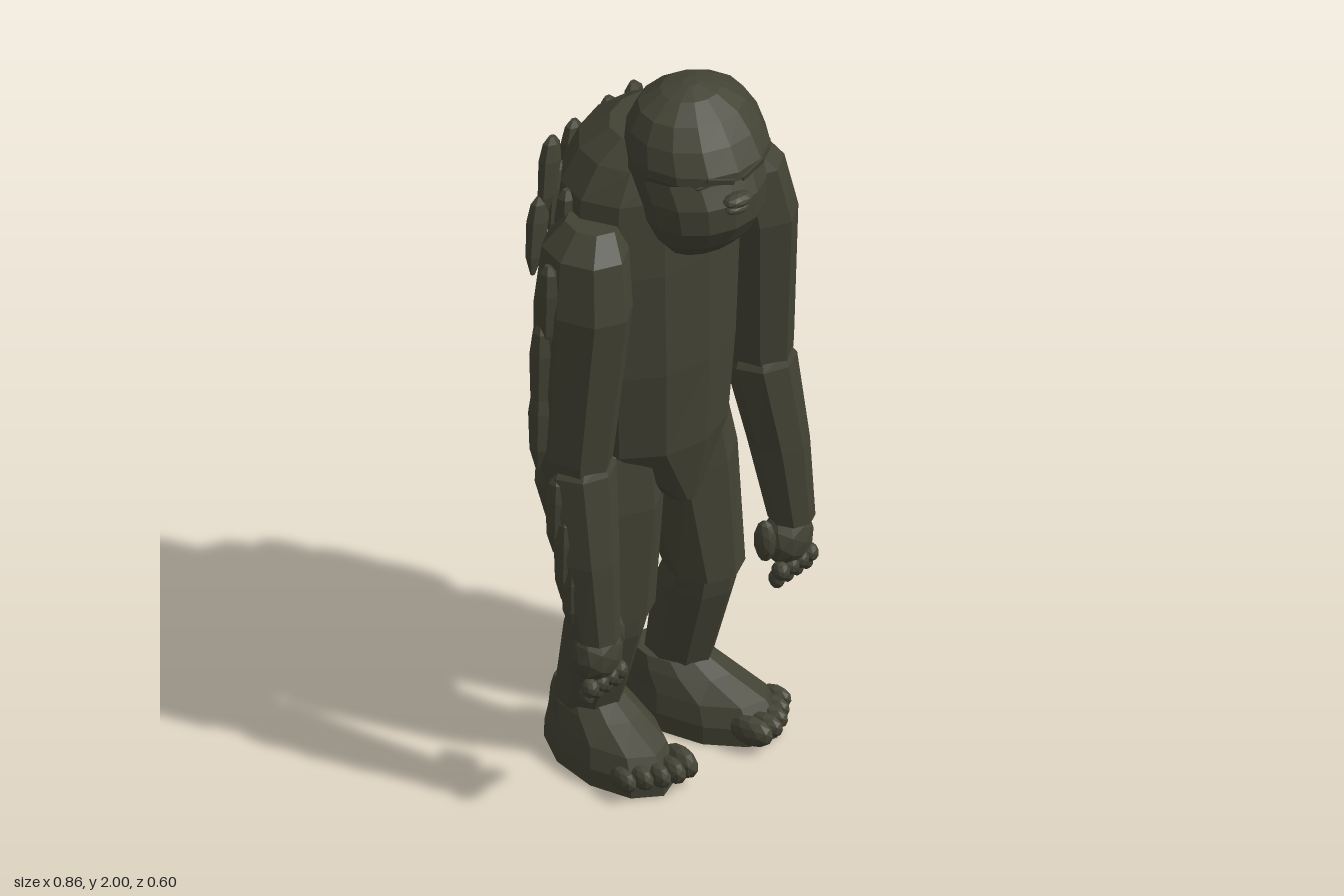
import * as THREE from 'three';

const fur = new THREE.MeshStandardMaterial({ color: 0x424234 });
fur.name = 'dark olive fur';

// flat-faced mesh added to a parent
function add(parent, name, geometry) {
  const g = geometry.index ? geometry.toNonIndexed() : geometry;
  g.computeVertexNormals();
  const m = new THREE.Mesh(g, fur);
  m.name = name;
  parent.add(m);
  return m;
}

// closed body through elliptical rings [y, cx, cz, rx, rz], listed bottom to top
function loft(rings, sides) {
  const pos = [], idx = [];
  for (const [y, cx, cz, rx, rz] of rings) {
    for (let i = 0; i < sides; i++) {
      const a = (i / sides) * Math.PI * 2;
      pos.push(cx + rx * Math.sin(a), y, cz + rz * Math.cos(a));
    }
  }
  const last = rings.length - 1;
  for (let r = 0; r < last; r++) {
    for (let i = 0; i < sides; i++) {
      const a = r * sides + i, b = r * sides + (i + 1) % sides;
      idx.push(a, b, b + sides, a, b + sides, a + sides);
    }
  }
  for (let i = 1; i < sides - 1; i++) {
    idx.push(0, i + 1, i);
    idx.push(last * sides, last * sides + i, last * sides + i + 1);
  }
  const g = new THREE.BufferGeometry();
  g.setAttribute('position', new THREE.Float32BufferAttribute(pos, 3));
  g.setIndex(idx);
  return g;
}

// small faceted ellipsoid
function blob(parent, name, p, s) {
  const m = add(parent, name, new THREE.IcosahedronGeometry(1, 1).scale(...s));
  m.position.set(...p);
  return m;
}

// hanging lock of fur: wide near the top, pointed at the bottom
function tuft(parent, p, w, h, d, tilt = 0) {
  const m = add(parent, 'furTuft', loft([
    [-0.5 * h, 0, 0, 0.2 * w, 0.2 * d], [-0.25 * h, 0, 0, 0.8 * w, 0.8 * d],
    [0.2 * h, 0, 0, w, d], [0.42 * h, 0, 0, 0.75 * w, 0.75 * d], [0.5 * h, 0, 0, 0.3 * w, 0.3 * d],
  ], 6));
  m.position.set(...p);
  m.rotation.z = tilt;
}

function makeHead() {
  const head = new THREE.Group();
  head.name = 'head';
  // skull, brow ledge, muzzle and jaw
  add(head, 'skull', loft([
    [1.57, 0, 0.04, 0.1, 0.062], [1.61, 0, 0.038, 0.135, 0.1], [1.67, 0, 0.035, 0.16, 0.138],
    [1.74, 0, 0.018, 0.17, 0.155], [1.80, 0, -0.008, 0.176, 0.148], [1.822, 0, 0.01, 0.179, 0.176],
    [1.845, 0, 0.008, 0.18, 0.176], [1.90, 0, -0.008, 0.168, 0.156], [1.95, 0, -0.015, 0.138, 0.122],
    [1.985, 0, -0.02, 0.078, 0.07], [2.0, 0, -0.02, 0.02, 0.02],
  ], 14));
  // slanted brows and closed eyes
  for (const s of [-1, 1]) {
    const brow = add(head, 'brow', new THREE.BoxGeometry(0.075, 0.016, 0.03));
    brow.position.set(s * 0.045, 1.832, 0.163);
    brow.rotation.set(0.2, s * 0.25, s * 0.22);
    blob(head, 'eye', [s * 0.06, 1.795, 0.122], [0.03, 0.012, 0.012]);
  }
  // nose and lips
  blob(head, 'nose', [0, 1.762, 0.18], [0.042, 0.018, 0.026]);
  blob(head, 'mouth', [0, 1.735, 0.176], [0.034, 0.014, 0.02]);
  head.position.set(-0.012, 0, 0.1);
  head.rotation.y = -0.25;
  return head;
}

function makeArm(s) {
  const arm = new THREE.Group();
  arm.name = s > 0 ? 'leftArm' : 'rightArm';
  add(arm, 'upperArm', loft([
    [0.98, s * 0.325, 0.005, 0.082, 0.1], [1.03, s * 0.322, 0, 0.09, 0.11],
    [1.45, s * 0.295, 0.01, 0.102, 0.138], [1.6, s * 0.276, 0, 0.094, 0.118],
    [1.66, s * 0.248, -0.002, 0.06, 0.072],
  ], 8));
  add(arm, 'forearm', loft([
    [0.53, s * 0.35, 0.1, 0.057, 0.06], [0.75, s * 0.342, 0.065, 0.074, 0.08],
    [0.99, s * 0.323, 0.022, 0.09, 0.092], [1.02, s * 0.32, 0.02, 0.07, 0.08],
  ], 8));
  // hand with thumb and four fingers
  blob(arm, 'hand', [s * 0.342, 0.475, 0.095], [0.072, 0.08, 0.058]);
  blob(arm, 'thumb', [s * 0.268, 0.49, 0.085], [0.025, 0.06, 0.03]);
  for (let i = 0; i < 4; i++) {
    const x = s * (0.288 + i * 0.036);
    blob(arm, 'knuckle', [x, 0.405, 0.118], [0.022, 0.026, 0.025]);
    blob(arm, 'finger', [x, 0.376, 0.105], [0.018, 0.026, 0.022]);
  }
  // overlapping fur down the outside of the arm, and one lock behind the shoulder
  const outer = [[0.39, 1.46, -0.025, 0.26], [0.406, 1.28, -0.035, 0.28], [0.41, 1.12, -0.035, 0.24],
    [0.404, 0.88, 0.015, 0.22], [0.402, 0.76, 0.04, 0.24], [0.397, 0.66, 0.06, 0.18]];
  for (const [x, y, z, h] of outer) tuft(arm, [s * x, y, z], 0.026, h, 0.032, s * 0.03);
  tuft(arm, [s * 0.24, 1.58, -0.09], 0.032, 0.26, 0.032);
  if (s < 0) arm.position.set(0.002, 0, -0.03);
  return arm;
}

function makeLeg(s) {
  const leg = new THREE.Group();
  leg.name = s > 0 ? 'leftLeg' : 'rightLeg';
  const dz = s > 0 ? 0 : -0.05;
  add(leg, 'thigh', loft([
    [0.46, s * 0.14, dz, 0.1, 0.1], [0.79, s * 0.132, -0.095 + dz * 0.2, 0.137, 0.177],
    [0.95, s * 0.125, -0.115, 0.12, 0.17], [1.02, s * 0.11, -0.11, 0.07, 0.11],
  ], 8));
  add(leg, 'shin', loft([
    [0.15, s * 0.14, -0.085 + dz, 0.075, 0.092], [0.4, s * 0.14, -0.03 + dz, 0.092, 0.108],
    [0.47, s * 0.14, -0.01 + dz, 0.09, 0.095],
  ], 8));
  // foot turned outward, with five toes
  const foot = new THREE.Group();
  foot.name = 'foot';
  add(foot, 'sole', loft([
    [0, 0, -0.012, 0.12, 0.212], [0.05, 0, -0.01, 0.12, 0.212], [0.1, 0, -0.022, 0.106, 0.19],
    [0.145, 0, -0.07, 0.088, 0.138], [0.175, 0, -0.095, 0.07, 0.106],
  ], 10));
  for (let i = 0; i < 5; i++) {
    const r = i === 0 ? 0.04 : 0.034 - i * 0.001;
    blob(foot, 'toe', [s * (-0.076 + i * 0.04), 0.055, 0.19 - Math.abs(i - 1.3) * 0.016], [r * 0.75, r, r * 1.5]);
  }
  foot.position.set(s * 0.145, 0, dz);
  foot.rotation.y = s * 0.2;
  leg.add(foot);
  return leg;
}

export function createModel() {
  const model = new THREE.Group();
  model.name = 'standingApe';

  // hunched torso, narrowing to a point between the thighs
  add(model, 'torso', loft([
    [0.76, 0, 0.055, 0.035, 0.03], [0.95, 0, -0.09, 0.232, 0.214], [1.2, 0, -0.075, 0.26, 0.212],
    [1.5, 0, -0.065, 0.274, 0.2], [1.71, 0, -0.062, 0.252, 0.188],
    [1.79, 0, -0.055, 0.197, 0.166], [1.843, 0, -0.035, 0.13, 0.108],
  ], 12));
  model.add(makeHead());

  for (const s of [-1, 1]) {
    model.add(makeArm(s), makeLeg(s));
    // fur locks on the upper back
    const back = [[0.075, 1.67, -0.245, 0.2], [0.125, 1.56, -0.25, 0.22],
      [0.165, 1.66, -0.24, 0.22], [0.205, 1.5, -0.245, 0.22]];
    for (const [x, y, z, h] of back) tuft(model, [s * x, y, z], 0.035, h, 0.022, s * 0.12);
    // overlapping fur locks down the flanks
    for (let i = 0; i < 3; i++) tuft(model, [s * (0.24 - i * 0.006), 1.38 - i * 0.16, -0.165], 0.033, 0.24, 0.035);
  }
  return model;
}
